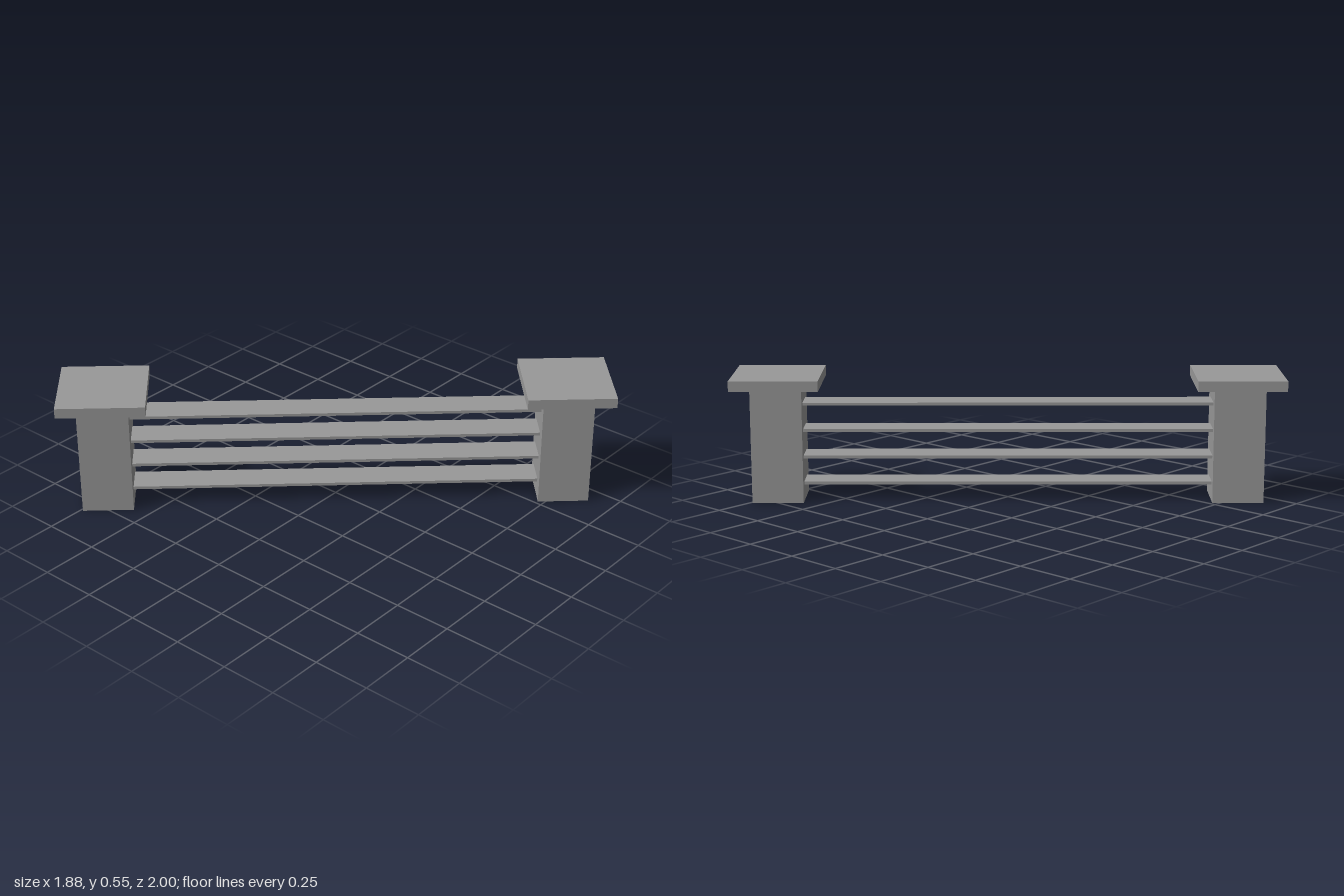
import * as THREE from 'three';

export function createModel() {
  const model = new THREE.Group();
  model.name = 'slattedBarrier';
  const grey = new THREE.MeshStandardMaterial({ color: 0x999999 });
  grey.name = 'grey';

  // The whole piece runs diagonally across the ground
  const body = new THREE.Group();
  body.name = 'body';
  body.rotation.y = -0.829;
  model.add(body);

  const span = 0.992;   // distance from the middle to each post
  const postWidth = 0.221;
  const postHeight = 0.505;
  const capWidth = 0.379;
  const capHeight = 0.045;

  function addBox(name, w, h, d, x, y, z) {
    const mesh = new THREE.Mesh(new THREE.BoxGeometry(w, h, d), grey);
    mesh.name = name;
    mesh.position.set(x, y, z);
    body.add(mesh);
  }

  // Square posts with overhanging caps
  for (const [side, s] of [['left', 1], ['right', -1]]) {
    addBox(side + 'Post', postWidth, postHeight, postWidth, s * span, postHeight / 2, 0);
    addBox(side + 'Cap', capWidth, capHeight, capWidth, s * span, postHeight + capHeight / 2, 0);
  }

  // Four thin flat slats between the posts
  const slatLength = 2 * span - postWidth;
  for (let i = 0; i < 4; i++) {
    addBox('slat' + (i + 1), slatLength, 0.013, 0.127, 0, 0.079 + i * 0.116, -0.005);
  }
  return model;
}
